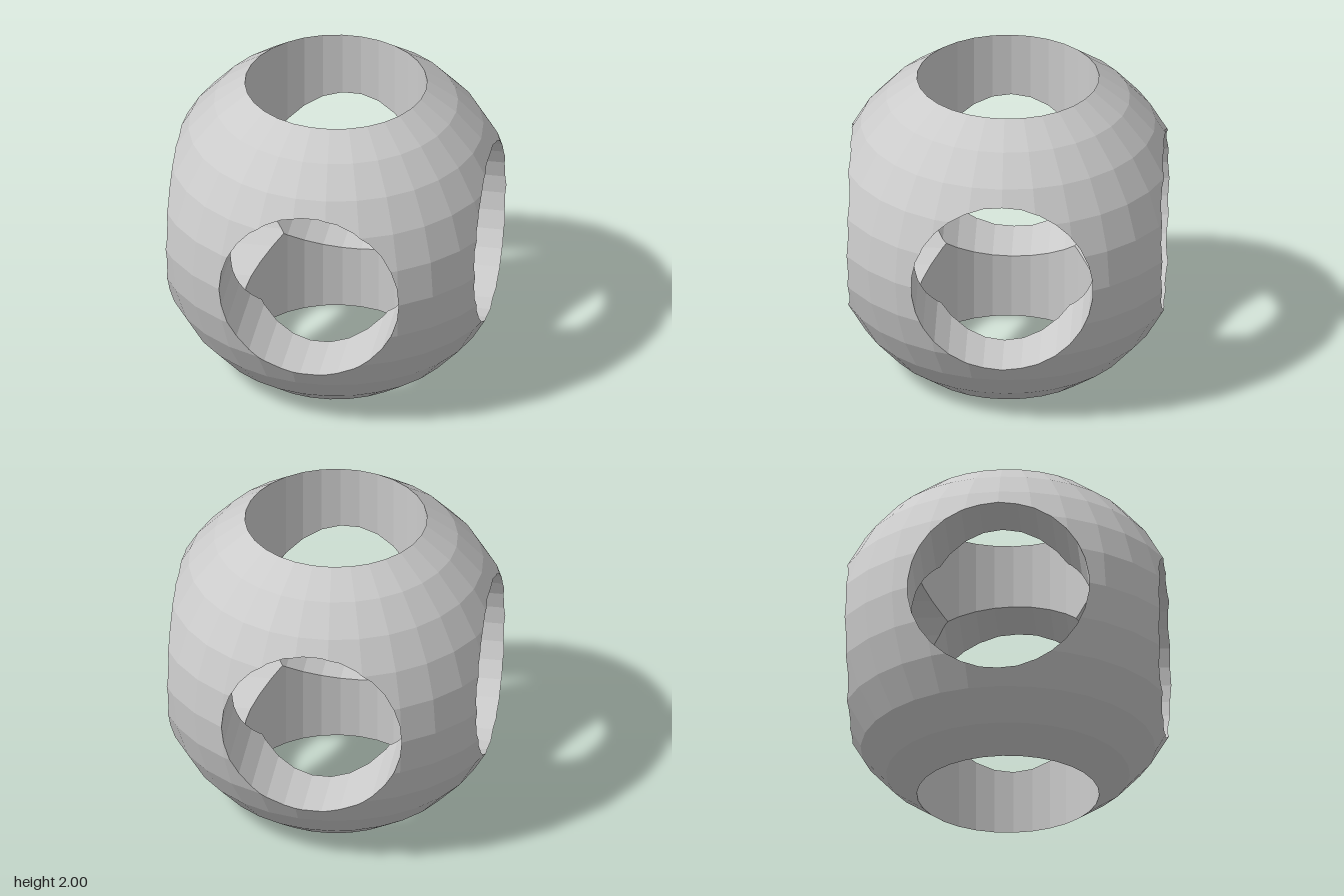
import * as THREE from 'three';

const SIDES = 30;
const STEP = (2 * Math.PI) / SIDES;
const R = 2 / Math.sqrt(3); // ball radius
const r = R / 2; // bore radius
const EPS = 1e-7;
const V = (x, y, z) => new THREE.Vector3(x, y, z);

// part of a convex polygon on one side of a plane (side 1: behind it, -1: in front)
function clip(poly, plane, side) {
  const out = [];
  const dist = poly.map((p) => side * (plane.n.dot(p) - plane.d));
  poly.forEach((p, i) => {
    const j = (i + 1) % poly.length;
    if (dist[i] <= EPS) out.push(p);
    if ((dist[i] < -EPS && dist[j] > EPS) || (dist[i] > EPS && dist[j] < -EPS)) {
      out.push(p.clone().lerp(poly[j], dist[i] / (dist[i] - dist[j])));
    }
  });
  return out.length > 2 ? out : [];
}

// remove an endless convex prism from a polygon, giving convex pieces
function subtract(poly, planes) {
  const pieces = [];
  let rest = poly;
  for (const plane of planes) {
    const outside = clip(rest, plane, -1);
    if (outside.length) pieces.push(outside);
    rest = clip(rest, plane, 1);
    if (!rest.length) break;
  }
  return rest.length ? pieces : [poly];
}

// facets of the ball between the top and bottom openings
function ballFacets() {
  const point = (lat, lon) =>
    V(Math.cos(lat) * Math.cos(lon), Math.sin(lat), Math.cos(lat) * Math.sin(lon)).multiplyScalar(R);
  const facets = [];
  for (let i = -5; i < 5; i++) {
    for (let k = 0; k < SIDES; k++) {
      const [a, b, c, d] = [i * STEP, (i + 1) * STEP, k * STEP, (k + 1) * STEP];
      const poly = [point(a, c), point(b, c), point(b, d), point(a, d)];
      const n = poly[2].clone().sub(poly[0]).cross(poly[3].clone().sub(poly[1])).normalize();
      if (n.dot(poly[0]) < 0) n.negate();
      facets.push({ poly, n, d: n.dot(poly[0]) });
    }
  }
  return facets;
}

// many-sided bore along an axis; a corner lies on direction u
function makeBore(name, axis, u, v) {
  const dir = (a) => u.clone().multiplyScalar(Math.cos(a)).addScaledVector(v, Math.sin(a));
  const planes = [];
  const walls = [];
  for (let k = 0; k < SIDES; k++) {
    const n = dir((k + 0.5) * STEP);
    planes.push({ n, d: r * Math.cos(STEP / 2) });
    const p = dir(k * STEP).multiplyScalar(r);
    const q = dir((k + 1) * STEP).multiplyScalar(r);
    const end = (c, s) => c.clone().addScaledVector(axis, s * R);
    walls.push({ poly: [end(p, -1), end(q, -1), end(q, 1), end(p, 1)], n: n.clone().negate() });
  }
  return { name, planes, walls };
}

// flat-shaded mesh from convex polygons, each wound to face its normal
function makeMesh(name, faces) {
  const positions = [];
  for (const { poly, n } of faces) {
    for (let i = 1; i < poly.length - 1; i++) {
      const [a, b, c] = [poly[0], poly[i], poly[i + 1]];
      const turn = b.clone().sub(a).cross(c.clone().sub(a));
      if (turn.length() < 1e-10) continue;
      const tri = turn.dot(n) > 0 ? [a, b, c] : [a, c, b];
      tri.forEach((p) => positions.push(p.x, p.y, p.z));
    }
  }
  const geometry = new THREE.BufferGeometry();
  geometry.setAttribute('position', new THREE.Float32BufferAttribute(positions, 3));
  geometry.computeVertexNormals();
  const mesh = new THREE.Mesh(geometry, new THREE.MeshStandardMaterial({ color: 0xcccccc, flatShading: true }));
  mesh.name = name;
  mesh.position.y = 1;
  return mesh;
}

// cut the given bores out of one face
function cutFace({ poly, n }, bores) {
  let pieces = [poly];
  for (const bore of bores) pieces = pieces.flatMap((p) => subtract(p, bore.planes));
  return pieces.map((p) => ({ poly: p, n }));
}

export function createModel() {
  const group = new THREE.Group();
  group.name = 'boredBall';
  const [x, y, z] = [V(1, 0, 0), V(0, 1, 0), V(0, 0, 1)];
  const facets = ballFacets();
  const bores = [
    makeBore('verticalBore', y, x, z),
    makeBore('frontBore', z, x, y),
    makeBore('sideBore', x, y, z),
  ];

  // outer shell with six round openings
  group.add(makeMesh('outerShell', facets.flatMap((f) => cutFace(f, bores))));

  // bore walls, trimmed to the ball and to the crossing bores
  for (const bore of bores) {
    const others = bores.filter((b) => b !== bore);
    const faces = bore.walls.flatMap(({ poly, n }) => {
      const trimmed = facets.reduce((p, f) => clip(p, f, 1), poly);
      return trimmed.length ? cutFace({ poly: trimmed, n }, others) : [];
    });
    group.add(makeMesh(bore.name, faces));
  }
  return group;
}
